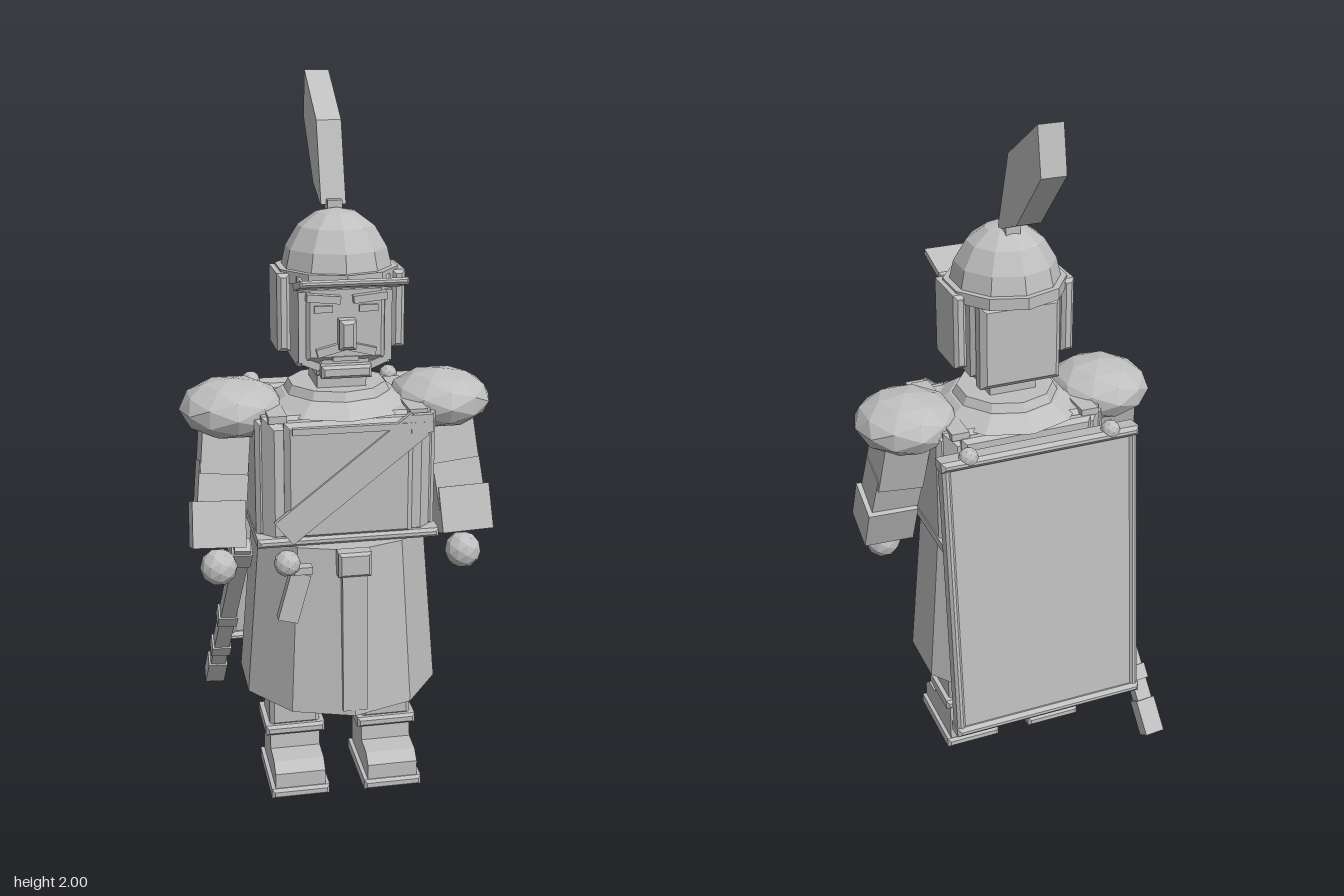
import * as THREE from 'three';

const grey = new THREE.MeshStandardMaterial({ color: 0xbfbfbf, flatShading: true });
grey.name = 'plain grey';

function add(parent, name, geo, x = 0, y = 0, z = 0, rx = 0, ry = 0, rz = 0) {
  const m = new THREE.Mesh(geo, grey);
  m.name = name;
  m.position.set(x, y, z);
  m.rotation.set(rx, ry, rz);
  parent.add(m);
  return m;
}
const box = (w, h, d) => new THREE.BoxGeometry(w, h, d);

// Box with every edge cut by a flat chamfer
function chamfer(w, h, d, b) {
  const x = w / 2 - b, y = h / 2 - b;
  const s = new THREE.Shape([[-x, -y], [x, -y], [x, y], [-x, y]].map(p => new THREE.Vector2(...p)));
  const g = new THREE.ExtrudeGeometry(s, {
    depth: d - 2 * b, bevelEnabled: true, bevelThickness: b, bevelSize: b, bevelSegments: 1,
  });
  return g.translate(0, 0, b - d / 2);
}

// Side profile given as [z, y], extruded across x
function sideProfile(points, width) {
  const s = new THREE.Shape(points.map(([z, y]) => new THREE.Vector2(-z, y)));
  return new THREE.ExtrudeGeometry(s, { depth: width, bevelEnabled: false })
    .translate(0, 0, -width / 2).rotateY(Math.PI / 2);
}

// Bar running between two points
function bar(parent, name, a, b, w, d) {
  const p = new THREE.Vector3(...a), q = new THREE.Vector3(...b);
  const m = add(parent, name, box(w, p.distanceTo(q), d));
  m.position.copy(p).add(q).multiplyScalar(0.5);
  m.quaternion.setFromUnitVectors(new THREE.Vector3(0, 1, 0), p.sub(q).normalize());
  return m;
}

function buildLeg(side) {
  const g = new THREE.Group();
  g.name = side > 0 ? 'leftLeg' : 'rightLeg';
  g.position.x = side * 0.135;
  add(g, 'sole', chamfer(0.168, 0.03, 0.255, 0.008), 0, 0.015, 0.103);
  add(g, 'foot', sideProfile([[-0.015, 0.03], [0.22, 0.03], [0.22, 0.075], [0.19, 0.1],
    [0.125, 0.105], [0.12, 0.15], [-0.015, 0.15]], 0.145), 0, 0, 0);
  add(g, 'bootCuff', chamfer(0.172, 0.03, 0.165, 0.008), 0, 0.167, 0.055);
  add(g, 'shin', chamfer(0.145, 0.09, 0.14, 0.012), 0, 0.22, 0.055);
  add(g, 'thigh', box(0.125, 0.24, 0.125), 0, 0.37, 0.055);
  return g;
}

function buildArm(side) {
  const g = new THREE.Group();
  g.name = side > 0 ? 'leftArm' : 'rightArm';
  add(g, 'shoulderPad', new THREE.IcosahedronGeometry(0.15, 1).scale(0.97, 0.54, 1), side * 0.29, 1.13, 0.055);
  bar(g, 'upperArm', [side * 0.305, 1.14, 0.03], [side * 0.325, 0.95, 0.075], 0.13, 0.125);
  bar(g, 'forearm', [side * 0.322, 0.98, 0.07], [side * 0.34, 0.82, 0.115], 0.135, 0.11);
  bar(g, 'cuff', [side * 0.343, 0.875, 0.095], [side * 0.348, 0.755, 0.138], 0.145, 0.13);
  add(g, 'hand', new THREE.IcosahedronGeometry(0.052, 1), side * 0.347, 0.7, 0.148);
  return g;
}

function buildHead() {
  const g = new THREE.Group();
  g.name = 'head';
  add(g, 'neck', box(0.135, 0.1, 0.14), 0, 1.21, 0.06);
  add(g, 'skull', chamfer(0.25, 0.24, 0.23, 0.03), 0, 1.38, 0.07);
  add(g, 'jaw', chamfer(0.15, 0.09, 0.15, 0.012), 0, 1.28, 0.1);
  add(g, 'chinStrap', chamfer(0.135, 0.035, 0.04, 0.008), 0, 1.252, 0.185);
  add(g, 'mouth', box(0.07, 0.012, 0.02), 0, 1.285, 0.18);
  add(g, 'nose', chamfer(0.045, 0.08, 0.05, 0.01), 0, 1.355, 0.2);
  add(g, 'neckGuard', chamfer(0.23, 0.24, 0.06, 0.015), 0, 1.36, -0.046);
  for (const s of [-1, 1]) {
    add(g, 'brow', box(0.09, 0.02, 0.03), s * 0.062, 1.45, 0.192, 0, 0, s * 0.1);
    add(g, 'eye', box(0.05, 0.018, 0.014), s * 0.06, 1.42, 0.185);
    add(g, 'moustache', box(0.075, 0.022, 0.03), s * 0.042, 1.312, 0.185, 0, 0, -s * 0.25);
    add(g, 'cheekGuard', chamfer(0.035, 0.21, 0.16, 0.01), s * 0.155, 1.4, 0.05);
    add(g, 'cheekStrap', box(0.02, 0.19, 0.03), s * 0.115, 1.37, 0.165);
    add(g, 'strapEnd', box(0.05, 0.02, 0.025), s * 0.09, 1.27, 0.165, 0, 0, s * 0.4);
  }
  // Faceted dome, brim and tilted peak
  const dome = [[0, 1.5], [0.152, 1.5], [0.138, 1.56], [0.104, 1.617], [0.055, 1.652], [0, 1.663]];
  add(g, 'helmetDome', new THREE.LatheGeometry(dome.map(p => new THREE.Vector2(...p)), 10), 0, 0, 0.045);
  add(g, 'helmetBrim', new THREE.CylinderGeometry(0.167, 0.167, 0.032, 10), 0, 1.495, 0.045);
  add(g, 'visor', chamfer(0.28, 0.018, 0.13, 0.006), 0, 1.496, 0.243, -0.25);
  // Plume
  add(g, 'plumeSocket', box(0.04, 0.035, 0.045), 0, 1.662, 0.01);
  add(g, 'plume', sideProfile([[0.01, 1.665], [-0.06, 1.88], [-0.245, 2.0], [-0.268, 1.875],
    [-0.115, 1.708], [-0.015, 1.668]], 0.068));
  return g;
}

function buildShield() {
  const g = new THREE.Group();
  g.name = 'backShield';
  g.position.set(0, 0.705, -0.235);
  g.rotation.x = 0.096;
  add(g, 'shieldPanel', box(0.545, 0.82, 0.036));
  for (const s of [-1, 1]) {
    add(g, 'endRim', chamfer(0.57, 0.028, 0.066, 0.01), 0, s * 0.412, 0);
    add(g, 'sideRim', chamfer(0.024, 0.82, 0.05, 0.008), s * 0.27, 0, 0);
    add(g, 'shieldKnob', new THREE.IcosahedronGeometry(0.027, 1), s * 0.205, 0.425, -0.012);
  }
  return g;
}

function buildTorso() {
  const g = new THREE.Group();
  g.name = 'torso';
  add(g, 'coat', chamfer(0.46, 0.36, 0.34, 0.03), 0, 0.96, 0.06);
  add(g, 'breastPlate', chamfer(0.35, 0.33, 0.05, 0.015), 0, 0.965, 0.222);
  add(g, 'backPlate', chamfer(0.38, 0.33, 0.04, 0.012), 0, 0.965, -0.105);
  for (const s of [-1, 1]) {
    add(g, 'sidePanel', chamfer(0.06, 0.33, 0.28, 0.012), s * 0.217, 0.965, 0.06);
    add(g, 'shoulderStrap', box(0.05, 0.02, 0.34), s * 0.19, 1.138, 0.06);
  }
  add(g, 'waistband', chamfer(0.5, 0.025, 0.375, 0.008), 0, 0.796, 0.06);
  // Neckline, chest strap and diagonal sash
  add(g, 'yoke', new THREE.CylinderGeometry(0.155, 0.21, 0.035, 10), 0, 1.15, 0.05);
  add(g, 'collar', new THREE.CylinderGeometry(0.135, 0.155, 0.04, 10), 0, 1.172, 0.05);
  add(g, 'chestStrap', box(0.38, 0.018, 0.015), 0.035, 1.11, 0.25);
  bar(g, 'sash', [0.19, 1.115, 0.247], [-0.18, 0.825, 0.247], 0.08, 0.016);
  add(g, 'sashClasp', box(0.06, 0.05, 0.02), 0.195, 1.115, 0.247);
  // Skirt, belt buckle and hanging panel
  add(g, 'skirt', new THREE.CylinderGeometry(0.245, 0.285, 0.475, 10), 0, 0.547, 0.055);
  add(g, 'buckle', chamfer(0.09, 0.07, 0.05, 0.008), 0, 0.752, 0.305);
  add(g, 'skirtPanel', box(0.068, 0.4, 0.03), 0, 0.525, 0.316, -0.04);
  return g;
}

// Dagger at the front of the hip and scabbard slung behind it
function buildSidearm() {
  const g = new THREE.Group();
  g.name = 'sidearm';
  add(g, 'pommel', new THREE.IcosahedronGeometry(0.036, 1), -0.182, 0.768, 0.315);
  bar(g, 'grip', [-0.145, 0.735, 0.305], [-0.182, 0.6, 0.305], 0.055, 0.03);
  add(g, 'guard', box(0.05, 0.02, 0.03), -0.14, 0.745, 0.31);
  const top = new THREE.Vector3(-0.275, 0.74, 0.1), tip = new THREE.Vector3(-0.325, 0.128, -0.325);
  const at = t => top.clone().lerp(tip, t).toArray();
  bar(g, 'scabbard', at(0), at(0.99), 0.046, 0.042);
  for (const [a, b] of [[0.02, 0.1], [0.48, 0.54], [0.72, 0.78], [0.86, 1]]) {
    bar(g, 'scabbardBand', at(a), at(b), 0.058, 0.052);
  }
  return g;
}

export function createModel() {
  const model = new THREE.Group();
  model.name = 'guardFigure';
  for (const s of [-1, 1]) model.add(buildLeg(s), buildArm(s));
  model.add(buildTorso(), buildHead(), buildShield(), buildSidearm());
  return model;
}
